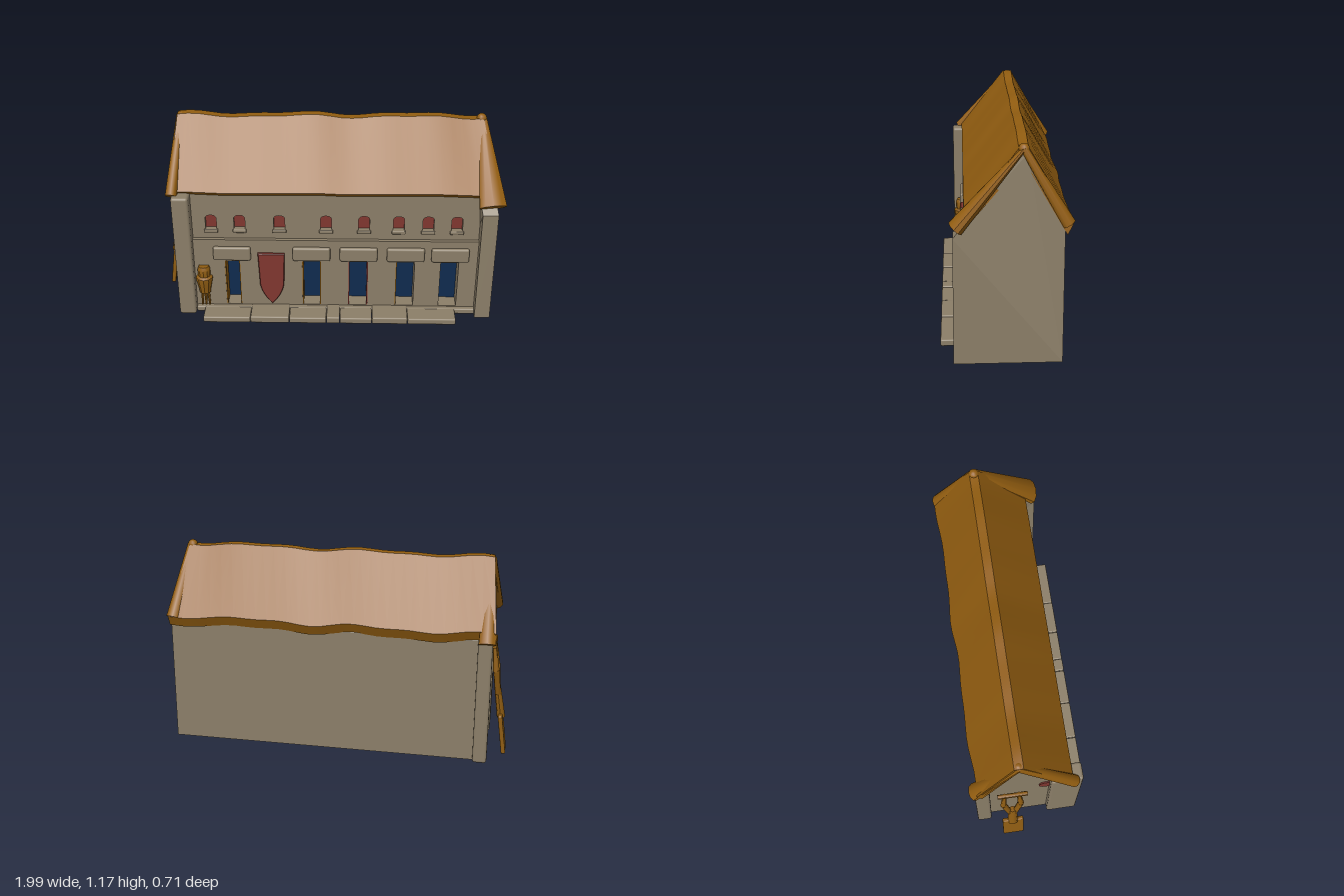
import * as THREE from 'three';
import { toCreasedNormals } from 'three/addons/utils/BufferGeometryUtils.js';
import { RoundedBoxGeometry } from 'three/addons/geometries/RoundedBoxGeometry.js';

const material = (name, color, side = THREE.FrontSide) => {
  const m = new THREE.MeshStandardMaterial({ color, side });
  m.name = name;
  return m;
};

export function createModel() {
  const model = new THREE.Group();
  const stone = material('stone', 0x8b7e68);
  const thatch = material('thatch', 0x925d10);
  const wood = material('wood', 0x8e5c12);
  const blue = material('blue door', 0x0f2b4e);
  const red = material('red', 0x80362f);

  const add = (name, geo, mat) => {
    const mesh = new THREE.Mesh(geo, mat);
    mesh.name = name;
    model.add(mesh);
    return mesh;
  };
  // Box given by its limits, with softened edges
  const box = (name, x0, x1, y0, y1, z0, z1, mat, r = 0.008) => {
    const w = x1 - x0, h = y1 - y0, d = z1 - z0;
    const geo = Math.min(w, h, d) < 0.02
      ? new THREE.BoxGeometry(w, h, d)
      : new RoundedBoxGeometry(w, h, d, 2, r);
    const mesh = add(name, geo, mat);
    mesh.position.set((x0 + x1) / 2, (y0 + y1) / 2, (z0 + z1) / 2);
    return mesh;
  };
  // Tapered, flattened pole between two points
  const pole = (name, a, b, r0, r1, flat, mat, sides = 10) => {
    const p = new THREE.Vector3(...a), q = new THREE.Vector3(...b);
    const dir = q.clone().sub(p);
    const geo = new THREE.CylinderGeometry(r1, r0, dir.length(), sides);
    geo.scale(1, 1, flat);
    const mesh = add(name, toCreasedNormals(geo, 0.8), mat);
    mesh.position.copy(p).add(q).multiplyScalar(0.5);
    mesh.quaternion.setFromUnitVectors(new THREE.Vector3(0, 1, 0), dir.normalize());
    return mesh;
  };
  // Gable profile given as [z, y], extruded along x
  const gable = (name, points, x0, x1, lean) => {
    const shape = new THREE.Shape(points.map(([z, y]) => new THREE.Vector2(-z, y)));
    const geo = new THREE.ExtrudeGeometry(shape, { depth: x1 - x0, bevelEnabled: false });
    geo.rotateY(Math.PI / 2).translate(x0, 0, 0);
    const pos = geo.attributes.position;
    for (let i = 0; i < pos.count; i++) {
      pos.setX(i, pos.getX(i) + lean * Math.max(0, pos.getY(i) - 0.72));
    }
    geo.computeVertexNormals();
    return add(name, geo, stone);
  };

  // Main body and end walls
  gable('body', [[0.12, 0.01], [0.12, 0.88], [-0.08, 1.11], [-0.285, 0.74], [-0.285, 0.01]], -0.86, 0.86, 0);
  gable('rightEndWall', [[0.285, 0.01], [0.28, 0.71], [-0.06, 1.13], [-0.1, 1.13], [-0.285, 0.75], [-0.285, 0.01]], 0.86, 0.95, -0.18);
  box('frontCornerPost', -0.9, -0.8, 0.01, 0.8, 0.1, 0.28, stone, 0.015);
  box('backCornerPost', -0.9, -0.82, 0.01, 0.76, -0.325, -0.24, stone, 0.015);

  // Openings as [centre x, width]
  const doors = [[-0.575, 0.09], [-0.11, 0.11], [0.165, 0.115], [0.44, 0.11], [0.70, 0.105]];
  const windows = [-0.69, -0.525, -0.295, -0.025, 0.195, 0.395, 0.565, 0.73];

  const rect = (x0, x1, y0, y1) => new THREE.Shape([
    new THREE.Vector2(x0, y0), new THREE.Vector2(x1, y0),
    new THREE.Vector2(x1, y1), new THREE.Vector2(x0, y1)]);
  const facade = (name, shape, z0, z1) => add(name,
    new THREE.ExtrudeGeometry(shape, { depth: z1 - z0, bevelEnabled: false, curveSegments: 6 })
      .translate(0, 0, z0), stone);

  // Lower facade with deep doorways
  const lower = rect(-0.81, 0.865, 0.01, 0.5);
  doors.forEach(([x, w]) => lower.holes.push(rect(x - w / 2, x + w / 2, 0.05, 0.355)));
  facade('lowerFacade', lower, 0.115, 0.222);

  // Upper facade with arched windows
  const upper = rect(-0.81, 0.865, 0.5, 0.83);
  windows.forEach((x) => {
    const hole = new THREE.Path();
    hole.moveTo(x - 0.032, 0.562).lineTo(x + 0.032, 0.562).lineTo(x + 0.032, 0.63);
    hole.quadraticCurveTo(x + 0.03, 0.652, x, 0.652);
    hole.quadraticCurveTo(x - 0.03, 0.652, x - 0.032, 0.63);
    upper.holes.push(hole);
    box('windowPane', x - 0.035, x + 0.035, 0.56, 0.655, 0.168, 0.176, red);
    box('windowSill', x - 0.04, x + 0.04, 0.54, 0.562, 0.18, 0.212, stone, 0.005);
  });
  facade('upperFacade', upper, 0.115, 0.2);

  // Doors, painted jambs and lintels
  doors.forEach(([x, w], i) => {
    box('door', x - w / 2, x + w / 2, 0.05, 0.355, 0.122, 0.13, blue);
    const jamb = i === 2 ? red : wood;
    if (i < 4) box('doorJamb', x - w / 2, x - w / 2 + 0.006, 0.05, 0.355, 0.13, 0.218, jamb);
    if (i < 3) box('doorJamb', x + w / 2 - 0.006, x + w / 2, 0.05, 0.355, 0.13, 0.218, jamb);
    box('lintel', x - 0.11, x + 0.11, 0.365, 0.455, 0.2, 0.24, stone, 0.012);
  });

  // Front step slabs
  const joints = [-0.75, -0.47, -0.24, -0.02, 0.06, 0.25, 0.46, 0.745];
  joints.slice(1).forEach((x, i) => {
    box('stepSlab', joints[i], x - 0.002, 0.005, 0.043 + (i % 2) * 0.005, 0.2, 0.355, stone);
  });
  box('plinth', -0.8, 0.87, 0.01, 0.045, 0.2, 0.25, stone);

  // Hanging shield
  const shield = new THREE.Shape();
  shield.moveTo(-0.42, 0.41).lineTo(-0.27, 0.41).lineTo(-0.278, 0.2);
  shield.quadraticCurveTo(-0.29, 0.13, -0.345, 0.07);
  shield.quadraticCurveTo(-0.40, 0.13, -0.412, 0.2);
  add('shield', new THREE.ExtrudeGeometry(shield, {
    depth: 0.012, bevelThickness: 0.005, bevelSize: 0.004, bevelSegments: 1,
  }).translate(0, 0, 0.222), red);

  // Torch basket on a stand
  const basket = [[0, 0.14], [0.034, 0.145], [0.036, 0.17], [0.05, 0.235], [0.05, 0.25],
    [0.036, 0.26], [0.038, 0.305], [0.03, 0.325], [0, 0.325]];
  add('torchBasket', toCreasedNormals(new THREE.LatheGeometry(
    basket.map(([r, y]) => new THREE.Vector2(r, y)), 10), 0.6), wood).position.set(-0.745, 0, 0.23);
  [-1, 0, 1].forEach((s) => pole('torchLeg', [-0.745 + s * 0.022, 0.05, 0.23],
    [-0.745 + s * 0.016, 0.16, 0.23], 0.006, 0.01, 1, wood, 6));

  // Roof shell from wavy cross-sections [z, y, flare at the ends]
  const section = [[0.222, 0.81, 1], [-0.055, 1.168, 0], [-0.105, 1.168, 0], [-0.318, 0.79, 1],
    [-0.29, 0.73, 1], [-0.08, 1.1, 0], [0.2, 0.785, 1]];
  const n = section.length, steps = 28, verts = [], index = [];
  for (let k = 0; k <= steps; k++) {
    const t = k / steps, x = -0.88 + 1.75 * t;
    const wave = 0.008 * Math.sin(t * 17 + 1) + 0.005 * Math.sin(t * 31);
    section.forEach(([z, y, flare], j) => {
      const end = Math.pow(Math.abs(2 * t - 1), 6) * Math.sign(t - 0.5);
      const back = j === 3 || j === 4;
      verts.push(x + end * flare * (t > 0.5 ? 0.08 : 0.035),
        y + wave * (flare ? (back ? 1 : 0.3) : 1) - (flare ? 0 : 0.005),
        z + (back ? wave * 0.8 : 0));
    });
    if (k === steps) break;
    for (let j = 0; j < n; j++) {
      const a = k * n + j, b = k * n + (j + 1) % n;
      index.push(a, a + n, b, b, a + n, b + n);
    }
  }
  [[0, 1, 5], [0, 5, 6], [1, 2, 5], [2, 3, 5], [3, 4, 5]].forEach(([a, b, c]) => {
    const o = steps * n;
    index.push(a, b, c, o + a, o + c, o + b);
  });
  const roof = new THREE.BufferGeometry();
  roof.setAttribute('position', new THREE.Float32BufferAttribute(verts, 3));
  roof.setIndex(index);
  add('thatchRoof', toCreasedNormals(roof, 0.6), thatch);

  // Thick thatch rolls along the gable edges
  pole('rightFrontVerge', [0.915, 0.755, 0.265], [0.865, 1.15, -0.08], 0.08, 0.025, 0.55, thatch);
  pole('rightBackVerge', [0.92, 0.77, -0.305], [0.865, 1.15, -0.08], 0.045, 0.025, 0.8, thatch);
  pole('leftFrontVerge', [-0.9, 0.79, 0.23], [-0.865, 1.15, -0.08], 0.035, 0.025, 1, thatch);
  pole('leftBackVerge', [-0.87, 0.735, -0.325], [-0.865, 1.15, -0.08], 0.05, 0.025, 0.7, thatch);
  [[-0.86, 0.02], [0.86, 0.02]].forEach(([x, r]) => {
    const cap = add('ridgeEnd', new THREE.SphereGeometry(r * 1.5, 10, 8), thatch);
    cap.position.set(x, 1.147, -0.08);
  });

  // Small window in the left gable
  const port = add('gableWindow', new THREE.CylinderGeometry(0.04, 0.04, 0.008, 12).rotateZ(Math.PI / 2), red);
  port.position.set(-0.864, 0.64, 0.08);
  port.scale.y = 1.25;

  // Wooden tool leaning on the left gable
  const blade = box('toolBlade', -0.0125, 0.0125, -0.12, 0.12, -0.062, 0.062, wood);
  blade.position.set(-0.976, 0.128, -0.12);
  blade.rotation.z = -0.13;
  pole('toolShaft', [-0.966, 0.22, -0.12], [-0.935, 0.42, -0.12], 0.024, 0.018, 1.3, wood, 8);
  [-1, 1].forEach((s) => {
    pole('toolProng', [-0.94, 0.37, -0.12 + s * 0.015], [-0.925, 0.53, -0.12 + s * 0.05], 0.016, 0.018, 1, wood, 8);
    pole('toolProng', [-0.925, 0.52, -0.12 + s * 0.05], [-0.905, 0.69, -0.12 + s * 0.04], 0.018, 0.011, 1, wood, 8);
  });
  pole('toolCrossbar', [-0.908, 0.68, -0.2], [-0.908, 0.68, -0.03], 0.013, 0.013, 1, wood, 8);

  return model;
}
